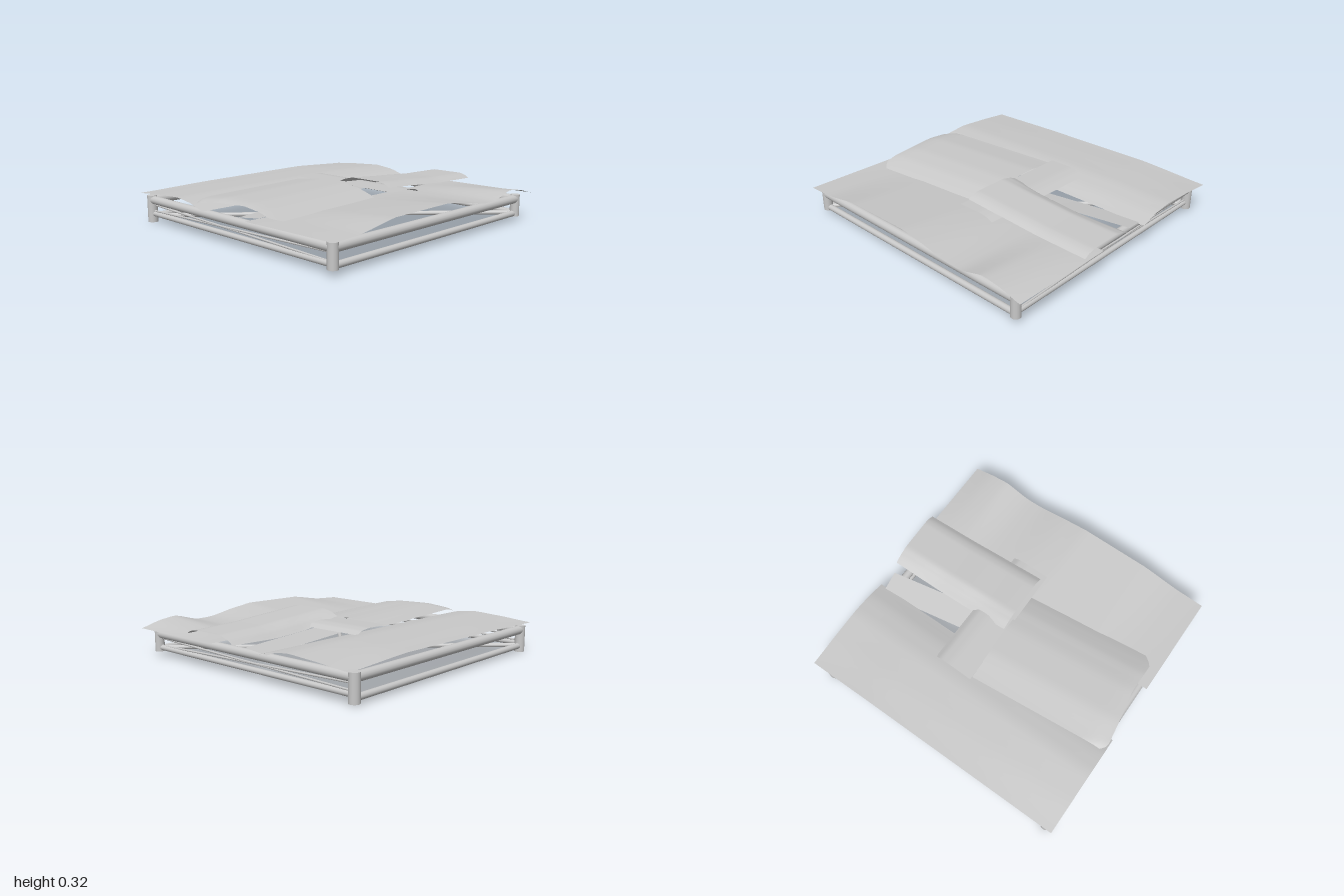
import * as THREE from 'three';

const metal = new THREE.MeshStandardMaterial({ color: 0xc8c8c8, side: THREE.DoubleSide });
metal.name = 'weatheredGrey';

// Softened interpolation through [position, value] pairs
function profile(points) {
  return (t) => {
    if (t <= points[0][0]) return points[0][1];
    for (let i = 1; i < points.length; i++) {
      const [a, ya] = points[i - 1], [b, yb] = points[i];
      if (t <= b) {
        const s = (t - a) / (b - a);
        return ya + (yb - ya) * (s * 0.7 + s * s * (3 - 2 * s) * 0.3);
      }
    }
    return points[points.length - 1][1];
  };
}

// Thin bent sheet: corners are [x, z] as back-left, back-right, front-right, front-left
function sheet(name, corners, height, nu = 24, nv = 16, edge = () => 0) {
  const geo = new THREE.PlaneGeometry(1, 1, nu, nv);
  const pos = geo.attributes.position;
  const [bl, br, fr, fl] = corners;
  for (let i = 0; i < pos.count; i++) {
    const u = pos.getX(i) + 0.5, v = 0.5 - pos.getY(i);
    const mix = (k) => (bl[k] * (1 - u) + br[k] * u) * (1 - v) + (fl[k] * (1 - u) + fr[k] * u) * v;
    pos.setXYZ(i, mix(0) + edge(v) * (1 - u), height(u, v), mix(1));
  }
  geo.computeVertexNormals();
  const mesh = new THREE.Mesh(geo, metal);
  mesh.name = name;
  return mesh;
}

// Round bar between two points
function bar(name, a, b, radius, sides = 16) {
  const from = new THREE.Vector3(...a), to = new THREE.Vector3(...b);
  const dir = to.clone().sub(from);
  const mesh = new THREE.Mesh(new THREE.CylinderGeometry(radius, radius, dir.length(), sides), metal);
  mesh.position.copy(from).add(to).multiplyScalar(0.5);
  mesh.quaternion.setFromUnitVectors(new THREE.Vector3(0, 1, 0), dir.normalize());
  mesh.name = name;
  return mesh;
}

export function createModel() {
  const model = new THREE.Group();
  model.name = 'patchedRoof';
  const frame = new THREE.Group();
  frame.name = 'frame';
  const sheets = new THREE.Group();
  sheets.name = 'sheets';
  model.add(frame, sheets);

  // Corner posts
  const XL = -0.94, XR = 0.885, ZF = 0.89, ZB = -0.915;
  for (const x of [XL, XR]) {
    const lift = x > 0 ? 0.012 : 0;
    frame.add(bar('frontPost', [x, 0.035, ZF], [x, 0.19, ZF], 0.033));
    frame.add(bar('backPost', [x, lift, ZB], [x, 0.19, ZB], 0.035));
    // Side rails with crossed wires between them
    frame.add(bar('sideTopRail', [x, 0.158, ZF], [x, 0.158, ZB], 0.029));
    frame.add(bar('sideBottomRail', [x, 0.062, ZF], [x, 0.06, ZB], 0.018));
    frame.add(bar('sideBrace', [x, 0.13, ZF], [x, 0.08, ZB], 0.007, 8));
    frame.add(bar('sideBrace', [x, 0.075, ZF], [x, 0.125, ZB], 0.007, 8));
  }
  // Front and back rails
  for (const [z, y] of [[ZF, 0.055], [ZB, 0.042]]) {
    frame.add(bar('crossTopRail', [XL, 0.158, z], [XR, 0.158, z], 0.031));
    frame.add(bar('crossBottomRail', [XL, y, z], [XR, y, z], 0.021));
  }
  // Floor braces from corner to corner
  frame.add(bar('floorBrace', [XL, 0.06, ZF], [XR, 0.045, ZB], 0.015));
  frame.add(bar('floorBrace', [XR, 0.06, ZF], [XL, 0.045, ZB], 0.015));

  // Back sheet, bulging along its back edge and drooping toward the middle
  const backArch = profile([[0, 0.208], [0.35, 0.229], [0.62, 0.24], [0.82, 0.225], [1, 0.188]]);
  const backBulge = profile([[0, 0], [0.3, 0.015], [0.75, 0.024], [1, 0]]);
  sheets.add(sheet('backSheet', [[-1, -0.96], [0.98, -0.96], [0.98, -0.22], [-1, -0.22]],
    (u, v) => backArch(v) + backBulge(u) * (1 - v)));

  // Front sheet, buckled along its front edge
  const buckle = profile([[0, 0.205], [0.1, 0.215], [0.25, 0.262], [0.5, 0.268], [0.57, 0.25],
    [0.7, 0.207], [0.76, 0.205], [0.86, 0.255], [0.92, 0.24], [1, 0.2]]);
  sheets.add(sheet('frontSheet', [[-1, 0.21], [0.98, 0.21], [0.98, 0.96], [-1, 0.96]],
    (u, v) => 0.195 + (buckle(u) - 0.195) * v, 48, 12));

  // Long low strip running under the other sheets
  sheets.add(sheet('lowStrip', [[-0.93, 0.06], [0.93, -0.27], [0.95, -0.1], [-0.93, 0.26]],
    (u, v) => 0.185 + 0.025 * v, 8, 6));

  // Left sheet with a worn outer edge
  const leftArch = profile([[0, 0.252], [0.3, 0.276], [0.6, 0.274], [0.8, 0.255], [0.93, 0.228], [1, 0.207]]);
  const worn = profile([[0, 0], [0.06, -0.04], [0.35, -0.035], [0.6, -0.025], [0.93, -0.055], [1, 0]]);
  const endDrop = profile([[0, 0.025], [0.05, 0.006], [0.12, 0], [1, 0]]);
  sheets.add(sheet('leftSheet', [[-0.96, -0.33], [0.015, -0.42], [0.035, 0.31], [-0.87, 0.41]],
    (u, v) => leftArch(v) - endDrop(u) * (1 - v), 24, 24, worn));

  // Cross strip with a rolled right edge
  const rolled = profile([[0, 0.266], [0.6, 0.269], [0.85, 0.26], [1, 0.237]]);
  sheets.add(sheet('crossStrip', [[0.015, -0.445], [0.31, -0.44], [0.3, 0.485], [0.015, 0.485]],
    (u) => rolled(u), 16, 8));

  // Right sheet, raised at its inner end, with a sagging back edge
  const slope = profile([[0, 0.32], [0.3, 0.3], [0.65, 0.277], [1, 0.268]]);
  const sag = profile([[0, 0.042], [0.35, 0.075], [0.6, 0.07], [1, 0.05]]);
  const backFall = profile([[0, 1], [0.12, 0.4], [0.28, 0], [1, 0]]);
  const frontFall = profile([[0, 0], [0.82, 0], [0.92, 0.01], [1, 0.03]]);
  sheets.add(sheet('rightSheet', [[0.035, -0.02], [0.985, -0.03], [0.995, 0.415], [0.04, 0.435]],
    (u, v) => slope(u) - sag(u) * backFall(v) - frontFall(v), 24, 24));

  return model;
}
